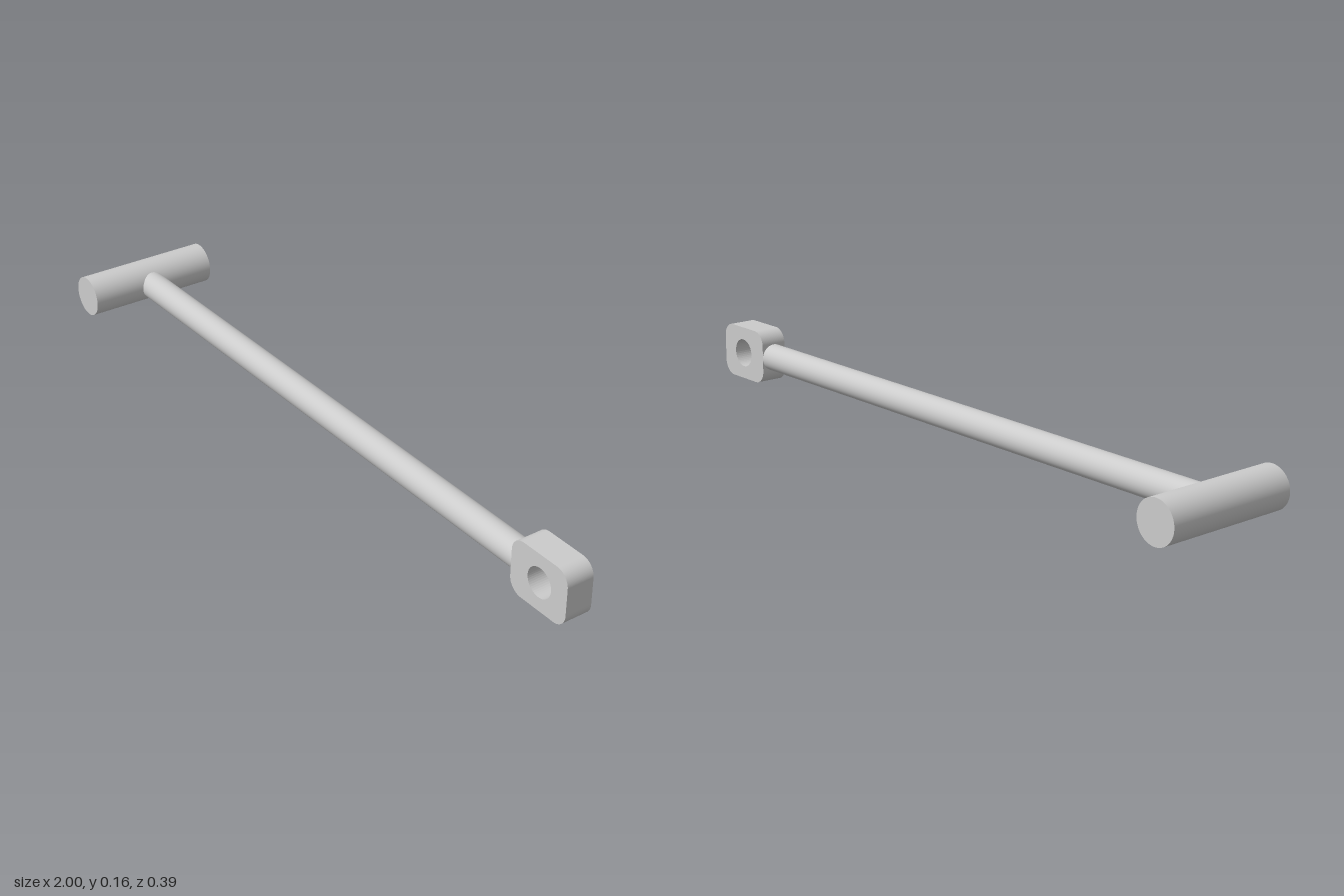
import * as THREE from 'three';

const AXIS_Y = 0.078;      // shared centre height
const HALF_THICK = 0.039;  // rod radius and half the eye block's depth

export function createModel() {
  const group = new THREE.Group();
  const material = new THREE.MeshStandardMaterial({ color: 0xcccccc });

  const add = (name, geometry, x) => {
    const mesh = new THREE.Mesh(geometry, material);
    mesh.name = name;
    mesh.position.set(x, AXIS_Y, 0);
    group.add(mesh);
  };

  // Crossbar along z
  const barRadius = 0.058;
  add('crossbar', new THREE.CylinderGeometry(barRadius, barRadius, 0.388, 64).rotateX(Math.PI / 2), -1 + barRadius);

  // Long rod, from inside the crossbar to the eye block
  const rodStart = -0.93, rodEnd = 0.805;
  add('rod', new THREE.CylinderGeometry(HALF_THICK, HALF_THICK, rodEnd - rodStart, 64).rotateZ(Math.PI / 2),
    (rodStart + rodEnd) / 2);

  // Eye block: rounded rectangle with a round through hole
  const w = 0.0975, h = AXIS_Y, r = 0.04;
  const outline = new THREE.Shape();
  outline.absarc(w - r, h - r, r, 0, Math.PI / 2);
  outline.absarc(-w + r, h - r, r, Math.PI / 2, Math.PI);
  outline.absarc(-w + r, -h + r, r, Math.PI, Math.PI * 1.5);
  outline.absarc(w - r, -h + r, r, Math.PI * 1.5, Math.PI * 2);
  outline.closePath();
  const hole = new THREE.Path();
  hole.absarc(0.003, 0, 0.041, 0, Math.PI * 2, true);
  outline.holes.push(hole);
  const block = new THREE.ExtrudeGeometry(outline, { depth: HALF_THICK * 2, bevelEnabled: false, curveSegments: 24 });
  block.translate(0, 0, -HALF_THICK);
  add('eyeBlock', block, 1 - w);

  return group;
}
